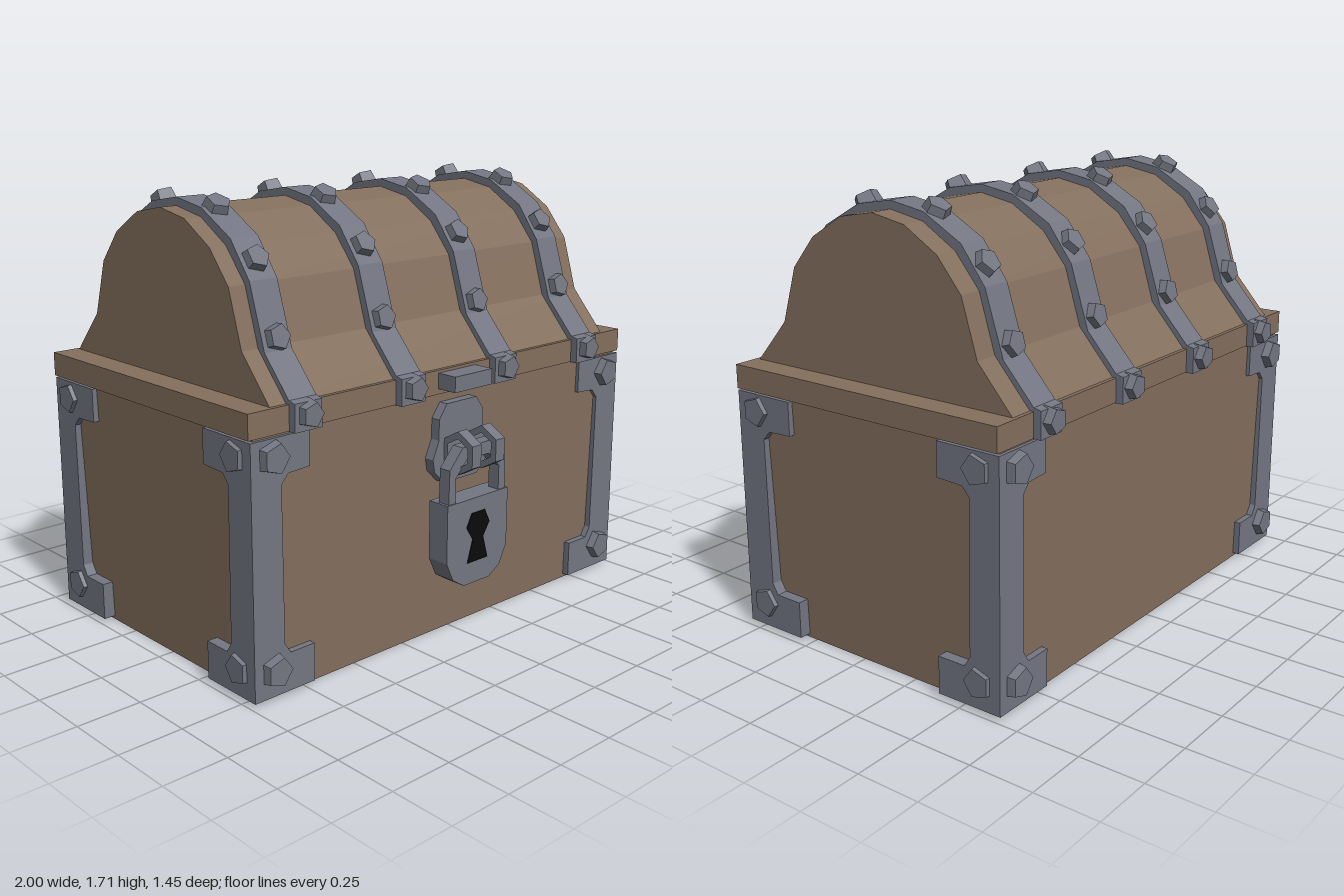
import * as THREE from 'three';

export function createModel() {
  const wood = new THREE.MeshStandardMaterial({ color: 0x846f5d });
  wood.name = 'wood';
  const metal = new THREE.MeshStandardMaterial({ color: 0x737682 });
  metal.name = 'iron';
  const black = new THREE.MeshStandardMaterial({ color: 0x0a0a0a });
  black.name = 'keyholeBlack';

  const model = new THREE.Group();
  model.name = 'treasureChest';
  const chest = new THREE.Group();
  chest.name = 'chest';
  chest.position.z = -0.055; // the lock sticks out in front
  model.add(chest);

  const add = (name, geo, mat, parent = chest) => {
    const m = new THREE.Mesh(geo, mat);
    m.name = name;
    parent.add(m);
    return m;
  };
  const shapeOf = pts => new THREE.Shape(pts.map(p => new THREE.Vector2(p[0], p[1])));
  const mirror = half => [...half, ...half.slice().reverse().filter(p => p[0] !== 0).map(p => [-p[0], p[1]])];
  // plate in the xy plane, from z0 to z1
  const plate = (shape, z0, z1) =>
    new THREE.ExtrudeGeometry(shape, { depth: z1 - z0, bevelEnabled: false }).translate(0, 0, z0);
  // profile in the zy plane (front-back symmetric or with x = -z), from x0 to x1
  const slice = (shape, x0, x1) => plate(shape, x0, x1).rotateY(Math.PI / 2);

  // five-sided stud pointing along a normal
  const UP = new THREE.Vector3(0, 1, 0);
  const stud = (name, pos, normal, r, h, spin) => {
    const geo = new THREE.CylinderGeometry(r * 0.84, r, h, 5).rotateY(spin).toNonIndexed();
    geo.computeVertexNormals();
    const m = add(name, geo, metal);
    m.position.set(...pos);
    m.quaternion.setFromUnitVectors(UP, new THREE.Vector3(...normal).normalize());
  };

  // body, slightly narrower at the bottom
  const body = new THREE.BoxGeometry(1.93, 0.96, 1.2).translate(0, 0.48, 0).toNonIndexed();
  const p = body.attributes.position;
  for (let i = 0; i < p.count; i++) {
    if (p.getY(i) < 0.1) p.setXYZ(i, p.getX(i) * 0.97, 0, p.getZ(i) * 0.975);
  }
  body.computeVertexNormals();
  add('body', body, wood);
  add('lidRim', new THREE.BoxGeometry(1.98, 0.092, 1.22).translate(0, 1.005, 0), wood);

  // domed lid
  const lidHalf = [[0.6, 1.04], [0.595, 1.05], [0.45, 1.215], [0.385, 1.426], [0.285, 1.547], [0.145, 1.632], [0, 1.659]];
  add('lid', slice(shapeOf(mirror(lidHalf)), -0.885, 0.888), wood);

  // iron bands over the lid, with studs
  const bandOuter = [[0.64, 0.957], [0.64, 1.058], [0.61, 1.065], [0.485, 1.205], [0.41, 1.44], [0.31, 1.574], [0.15, 1.664], [0, 1.69]];
  const bandInner = [[0.59, 0.957], [0.58, 1.05], [0.44, 1.205], [0.375, 1.416], [0.275, 1.537], [0.14, 1.622], [0, 1.649]];
  const bandShape = shapeOf([...mirror(bandOuter), ...mirror(bandInner).reverse()]);
  const bandStuds = [
    [0.645, 1.015, 1, 0], [0.475, 1.25, 0.95, 0.25], [0.368, 1.505, 0.8, 0.6], [0.16, 1.667, 0.49, 0.87],
  ];
  for (const x of [-0.755, -0.258, 0.24, 0.735]) {
    add('lidBand', slice(bandShape, x - 0.06, x + 0.06), metal);
    for (const s of [1, -1]) {
      for (const [z, y, nz, ny] of bandStuds) {
        stud('bandStud', [x, y, s * z], [0, ny, s * nz], 0.054, 0.05, Math.PI / 2);
      }
    }
  }

  // corner brackets: u runs inward from the corner
  const bracket = (u0, strip, top, bottom) => [
    [u0, 0.015], [bottom, 0.015], [bottom, 0.16], [strip + 0.03, 0.16], [strip + 0.005, 0.2],
    [strip, 0.78], [strip + 0.03, 0.815], [top, 0.82], [top, 0.95], [u0, 0.95],
  ];
  for (const sx of [1, -1]) {
    for (const sz of [1, -1]) {
      const faceShape = shapeOf(bracket(0, 0.13, 0.255, 0.27).map(([u, y]) => [sx * (0.984 - u), y]));
      add('cornerBracketFace', plate(faceShape, ...(sz > 0 ? [0.57, 0.613] : [-0.613, -0.57])), metal);
      const sideShape = shapeOf(bracket(0.043, 0.125, 0.263, 0.27).map(([u, y]) => [-sz * (0.613 - u), y]));
      add('cornerBracketSide', slice(sideShape, ...(sx > 0 ? [0.93, 0.984] : [-0.984, -0.93])), metal);
      for (const y of [0.885, 0.115]) {
        stud('cornerStud', [sx * 0.895, y, sz * 0.62], [0, 0, sz], 0.066, 0.05, -sx * Math.PI / 2);
        stud('cornerStud', [sx * 0.975, y, sz * 0.52], [sx, 0, 0], 0.066, 0.05, sz > 0 ? Math.PI : 0);
      }
    }
  }

  // hasp and padlock
  const lock = new THREE.Group();
  lock.name = 'lock';
  model.add(lock);
  add('haspHinge', new THREE.BoxGeometry(0.2, 0.06, 0.09).translate(0, 1.01, 0.595), metal, lock);
  const hasp = mirror([[0.09, 0.62], [0.14, 0.67], [0.15, 0.72], [0.12, 0.79], [0.12, 0.87], [0.08, 0.925]]);
  add('haspPlate', plate(shapeOf(hasp), 0.53, 0.582), metal, lock);

  // two six-sided staple rings
  const hex = r => Array.from({ length: 6 }, (_, i) => {
    const a = i * Math.PI / 3;
    return [-0.651 + r * Math.sin(a), 0.75 + r * Math.cos(a)];
  });
  const ring = shapeOf(hex(0.085));
  ring.holes.push(shapeOf(hex(0.056)));
  for (const x of [-0.068, 0.06]) add('stapleRing', slice(ring, x - 0.024, x + 0.024), metal, lock);

  const shackle = [
    ...mirror([[0.155, 0.56], [0.152, 0.7], [0.085, 0.775]]),
    ...mirror([[0.118, 0.56], [0.118, 0.665], [0.06, 0.725]]).reverse(),
  ];
  add('shackle', plate(shapeOf(shackle), 0.62, 0.67), metal, lock);
  const lockBody = mirror([[0.07, 0.228], [0.13, 0.265], [0.166, 0.34], [0.166, 0.568]]);
  add('padlockBody', plate(shapeOf(lockBody), 0.583, 0.676), metal, lock);
  const keyhole = mirror([[0.055, 0.315], [0.028, 0.405], [0.062, 0.458], [0.035, 0.51]]);
  add('keyhole', plate(shapeOf(keyhole), 0.674, 0.68), black, lock);

  return model;
}
